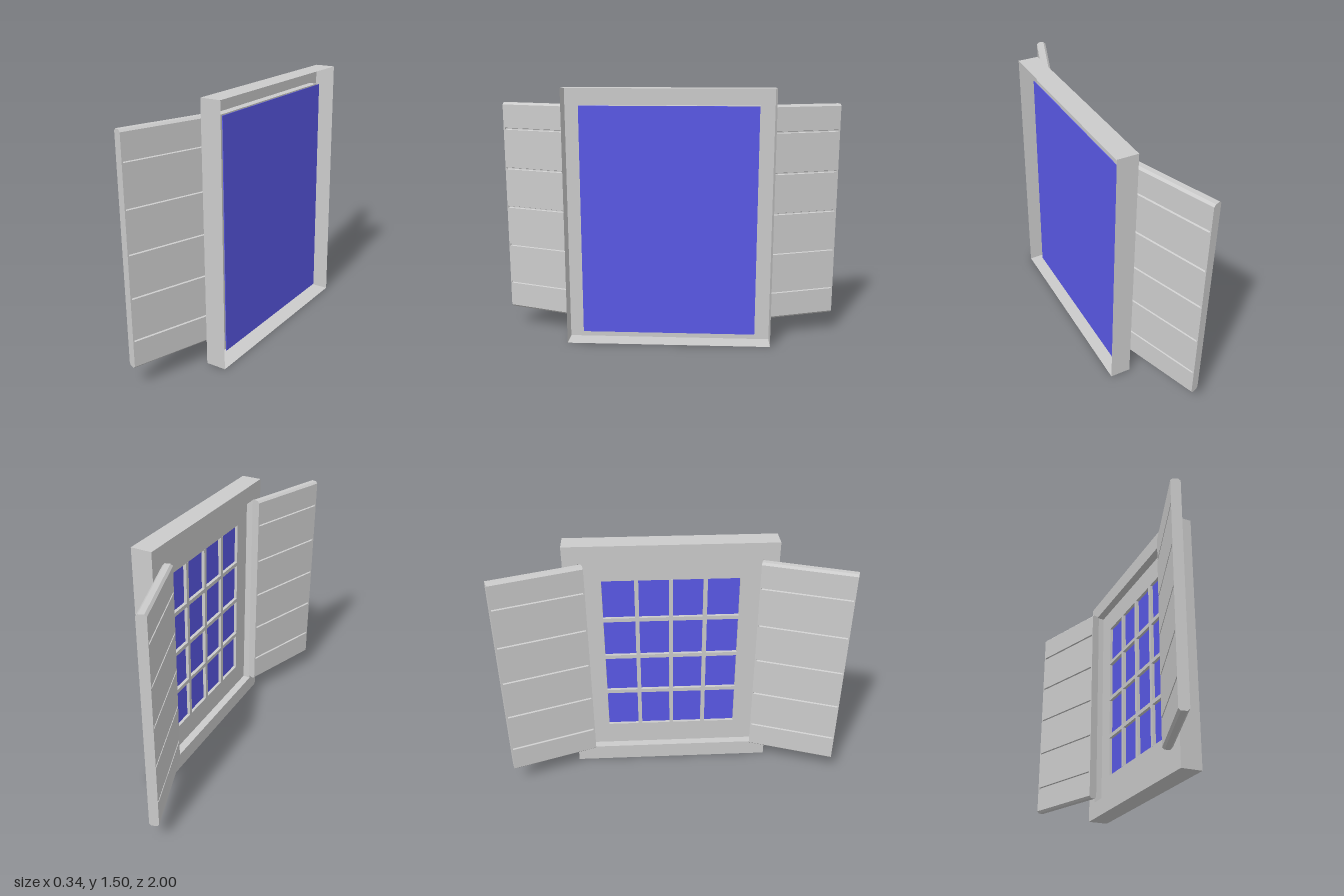
import * as THREE from 'three';

const grey = new THREE.MeshStandardMaterial({ color: 0xcccccc });
const greySheet = new THREE.MeshStandardMaterial({ color: 0xcccccc, side: THREE.DoubleSide });
const blue = new THREE.MeshStandardMaterial({ color: 0x5a59e7 });

const CZ = -0.005; // middle of the window along z

function add(parent, name, geometry, material = grey) {
  const mesh = new THREE.Mesh(geometry, material);
  mesh.name = name;
  parent.add(mesh);
  return mesh;
}

function box(parent, name, size, pos, material) {
  add(parent, name, new THREE.BoxGeometry(...size), material).position.set(...pos);
}

// Flat-sided skin through rectangular loops, each { x, w: half width, y0, y1 }
function loftRectangles(loops) {
  const rings = loops.map(({ x, w, y0, y1 }) => [
    [x, y0, CZ + w], [x, y1, CZ + w], [x, y1, CZ - w], [x, y0, CZ - w],
  ]);
  const points = [];
  for (let r = 0; r < rings.length - 1; r++) {
    for (let i = 0; i < 4; i++) {
      const j = (i + 1) % 4;
      const [a, b, c, d] = [rings[r][i], rings[r][j], rings[r + 1][j], rings[r + 1][i]];
      points.push(...a, ...b, ...c, ...a, ...c, ...d);
    }
  }
  const geometry = new THREE.BufferGeometry();
  geometry.setAttribute('position', new THREE.Float32BufferAttribute(points, 3));
  geometry.computeVertexNormals();
  return geometry;
}

// Shutter outline across its thickness, with chamfered ends and optional grooves
function shutterProfile(grooves) {
  const t = 0.027, y0 = 0.12, y1 = 1.4, c = 0.012, g = 0.006;
  const side = [[t - c, y0], [t, y0 + c]];
  for (const y of grooves) side.push([t, y - g], [t - 0.01, y - g / 2], [t - 0.01, y + g / 2], [t, y + g]);
  side.push([t, y1 - c], [t - c, y1]);
  const other = side.map(([x, y]) => [-x, y]).reverse();
  return new THREE.Shape([...side, ...other].map(([x, y]) => new THREE.Vector2(x, y)));
}

function makeShutter(name) {
  const shutter = new THREE.Group();
  shutter.name = name;
  const length = 0.523, cap = 0.008;
  const extrude = (shape, depth) => new THREE.ExtrudeGeometry(shape, { depth, bevelEnabled: false });
  const planks = shutterProfile([0.283, 0.524, 0.765, 1.004, 1.244]);
  add(shutter, 'shutterPlanks', extrude(planks, length - 2 * cap)).position.z = cap;
  // Plain strips closing the groove ends
  for (const z of [0, length - cap]) {
    add(shutter, 'shutterEndStrip', extrude(shutterProfile([]), cap)).position.z = z;
  }
  return shutter;
}

export function createModel() {
  const model = new THREE.Group();
  model.name = 'window';

  // Hollow outer casing, open towards +x
  add(model, 'outerFrame', loftRectangles([
    { x: 0.17, w: 0.6, y0: 0, y1: 1.5 },
    { x: 0.05, w: 0.6, y0: 0, y1: 1.5 },
    { x: 0.05, w: 0.515, y0: 0.1, y1: 1.4 },
    { x: 0.097, w: 0.515, y0: 0.1, y1: 1.4 },
  ]), greySheet);

  // Recessed sash with its opening
  const open = { w: 0.395, y0: 0.245, y1: 1.265 };
  add(model, 'sash', loftRectangles([
    { x: 0.097, w: 0.515, y0: 0.1, y1: 1.4 },
    { x: 0.097, ...open },
    { x: 0.116, ...open },
  ]), greySheet);

  // Glass behind the sash
  box(model, 'glass', [0.004, 1.345, 1.02], [0.117, 0.7275, CZ], blue);

  // Glazing bars making four by four panes
  const bars = new THREE.Group();
  bars.name = 'glazingBars';
  model.add(bars);
  const height = open.y1 - open.y0, midY = (open.y0 + open.y1) / 2;
  for (let i = 1; i < 4; i++) {
    const f = i / 4 - 0.5;
    box(bars, 'verticalBar', [0.02, height, 0.024], [0.106, midY, CZ + f * 2 * open.w]);
    box(bars, 'horizontalBar', [0.02, 0.024, 2 * open.w], [0.106, midY + f * height, CZ]);
  }

  // Shutters swung open on both sides
  const swing = 0.335;
  const left = makeShutter('shutterAtFront');
  left.position.set(0.03, 0, 0.497);
  left.rotation.y = -swing;
  const right = makeShutter('shutterAtBack');
  right.position.set(0.03, 0, -0.497);
  right.rotation.y = Math.PI + swing;
  model.add(left, right);

  return model;
}
